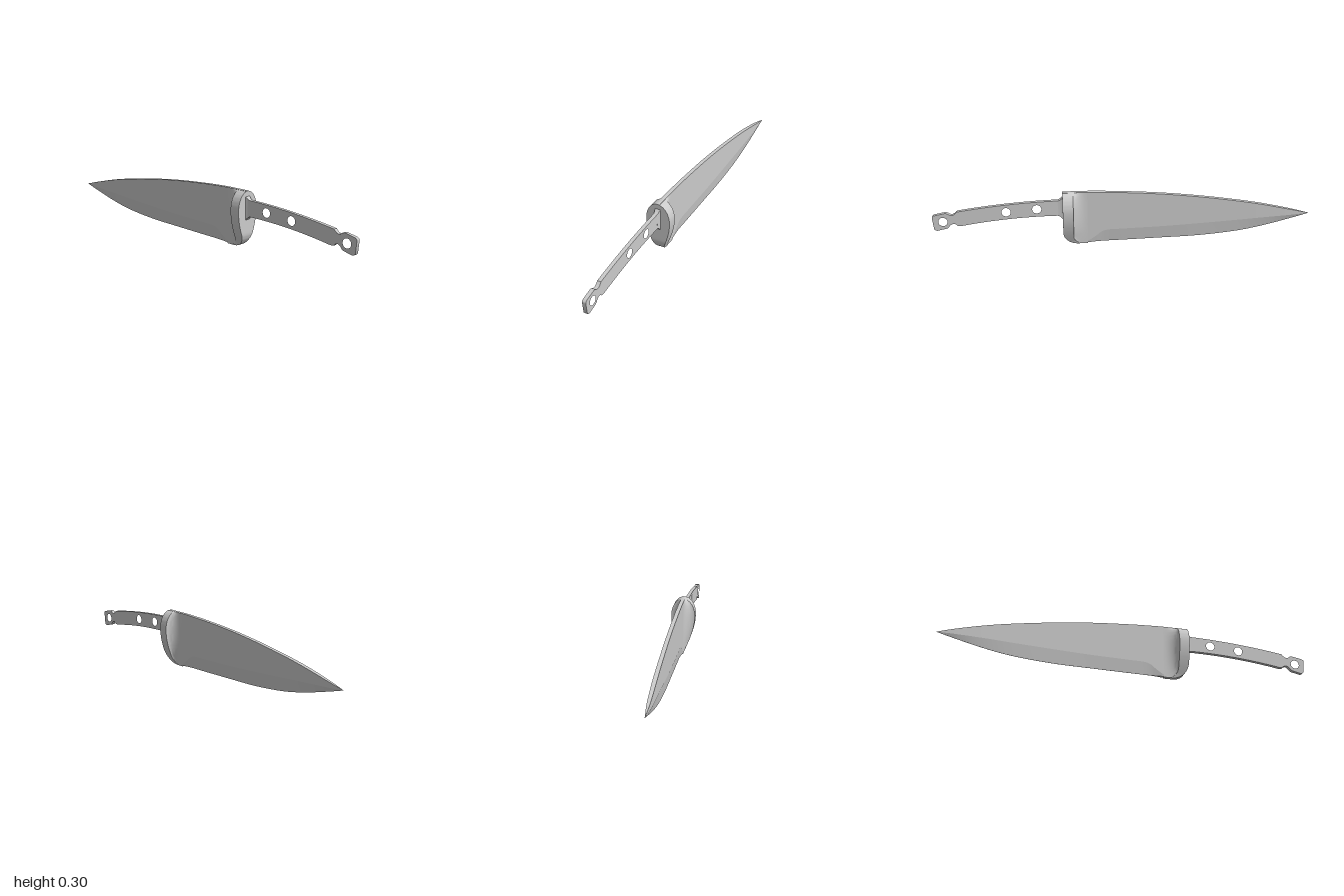
import * as THREE from 'three';
import { toCreasedNormals } from 'three/addons/utils/BufferGeometryUtils.js';

const material = new THREE.MeshStandardMaterial({ color: 0xcccccc });

// Skins a row of sections. Each section is half an outline, mirrored in z to close it.
function loft(halves, crease) {
  const rings = halves.map((h) => [...h, ...h.map(([x, y, z]) => [x, y, -z]).reverse()]);
  const n = rings[0].length, last = (rings.length - 1) * n;
  const index = [];
  const quad = (a, b, c, d) => index.push(a, b, c, a, c, d);
  for (let r = 0; r < last; r += n) {
    for (let i = 0; i < n; i++) {
      const j = (i + 1) % n;
      quad(r + i, r + j, r + n + j, r + n + i);
    }
  }
  for (let i = 0; i < n / 2 - 1; i++) {
    quad(n - 1 - i, n - 2 - i, i + 1, i);
    quad(last + i, last + i + 1, last + n - 2 - i, last + n - 1 - i);
  }
  const g = new THREE.BufferGeometry();
  g.setAttribute('position', new THREE.Float32BufferAttribute(rings.flat(2), 3));
  g.setIndex(index);
  return toCreasedNormals(g, crease);
}

// Blade: cutting edge, bevel line and spine, each a smooth curve along x
function bladeGeometry() {
  // x, edge y, bevel y, spine y, half thickness at edge, half thickness of body
  const stations = [
    [-1, 0.13, 0.1305, 0.131, 0.0004, 0.0005],
    [-0.9, 0.102, 0.125, 0.157, 0.0005, 0.008],
    [-0.75, 0.064, 0.117, 0.192, 0.0005, 0.0105],
    [-0.6, 0.037, 0.107, 0.22, 0.0005, 0.0105],
    [-0.4, 0.019, 0.095, 0.25, 0.0005, 0.0105],
    [-0.2, 0.013, 0.085, 0.273, 0.0005, 0.0105],
    [0, 0.008, 0.079, 0.288, 0.0005, 0.0105],
    [0.1, 0.006, 0.073, 0.293, 0.0005, 0.0105],
    [0.15, 0.005, 0.04, 0.295, 0.004, 0.0105],
    [0.19, 0.004, 0.015, 0.296, 0.009, 0.0105],
    [0.23, 0.003, 0.012, 0.296, 0.01, 0.0105],
  ];
  const line = (yCol, tCol) => new THREE.CatmullRomCurve3(
    stations.map((s) => new THREE.Vector3(s[0], s[yCol], -s[tCol])), false, 'catmullrom', 0.5);
  const lines = [line(1, 4), line(2, 5), line(3, 5)];
  const sections = [];
  for (let k = 0; k <= 60; k++) sections.push(lines.map((l) => l.getPoint(k / 60).toArray()));
  return loft(sections, 0.08);
}

// Bolster: egg-shaped from behind, flaring concavely out of the blade
function bolsterGeometry() {
  const H = 0.296, sections = [];
  const arc = (y, r) => (y < r ? Math.sqrt(1 - ((r - y) / r) ** 2) : 1);
  for (let k = 0; k <= 48; k++) {
    const y = (H / 2) * (1 - Math.cos((Math.PI * k) / 48));
    const w = y > 0.2
      ? Math.max(0.0108, 0.066 * Math.sqrt(Math.max(0, 1 - ((y - 0.2) / 0.096) ** 2)))
      : 0.011 + 0.055 * Math.cos((Math.PI / 2) * (1 - y / 0.2));
    const back = 0.24 + 0.08 * arc(y, 0.08);
    const front = 0.21 + 0.055 * arc(y, 0.05);
    const start = Math.min(0.19, front - 0.02);
    const half = [];
    for (let i = 0; i <= 10; i++) {
      const a = (Math.PI / 2) * (i / 10);
      half.push([start + (front - start) * Math.sin(a), y, w - (w - 0.0105) * Math.cos(a)]);
    }
    half.push([back, y, w]);
    sections.push(half);
  }
  return loft(sections, 0.5);
}

// Collar: concave taper from the bolster to the tang
function collarGeometry() {
  const sections = [];
  for (let k = 0; k <= 6; k++) {
    const u = k / 6, f = (1 - u) ** 1.7;
    const x = 0.31 + 0.035 * u, z = -(0.0102 + 0.008 * f);
    sections.push([[x, 0.167 - 0.034 * f, z], [x, 0.252 + 0.029 * f, z]]);
  }
  return loft(sections, 0.5);
}

// Tang: flat bar with rivet holes, a notch and an end tab
function tangGeometry() {
  const s = new THREE.Shape();
  s.moveTo(0.3, 0.253);
  s.lineTo(0.345, 0.252);
  s.quadraticCurveTo(0.6, 0.248, 0.87, 0.207);
  s.quadraticCurveTo(0.895, 0.175, 0.918, 0.198);
  s.lineTo(0.93, 0.201);
  s.lineTo(0.985, 0.19);
  s.quadraticCurveTo(1.0, 0.187, 1.0, 0.175);
  s.lineTo(0.994, 0.115);
  s.quadraticCurveTo(0.99, 0.102, 0.975, 0.103);
  s.lineTo(0.93, 0.113);
  s.quadraticCurveTo(0.918, 0.116, 0.912, 0.127);
  s.quadraticCurveTo(0.89, 0.152, 0.87, 0.127);
  s.lineTo(0.85, 0.126);
  s.quadraticCurveTo(0.6, 0.168, 0.345, 0.167);
  s.lineTo(0.3, 0.167);
  for (const [x, y] of [[0.455, 0.208], [0.615, 0.197], [0.945, 0.153]]) {
    s.holes.push(new THREE.Path().absarc(x, y, 0.024, 0, Math.PI * 2, true));
  }
  const g = new THREE.ExtrudeGeometry(s, { depth: 0.02, bevelEnabled: false, curveSegments: 16 });
  g.translate(0, 0, -0.01);
  return toCreasedNormals(g, 0.5);
}

export function createModel() {
  const knife = new THREE.Group();
  knife.name = 'kitchenKnife';
  const parts = {
    blade: bladeGeometry(),
    bolster: bolsterGeometry(),
    tangCollar: collarGeometry(),
    tang: tangGeometry(),
  };
  for (const [name, geometry] of Object.entries(parts)) {
    const mesh = new THREE.Mesh(geometry, material);
    mesh.name = name;
    knife.add(mesh);
  }
  return knife;
}
